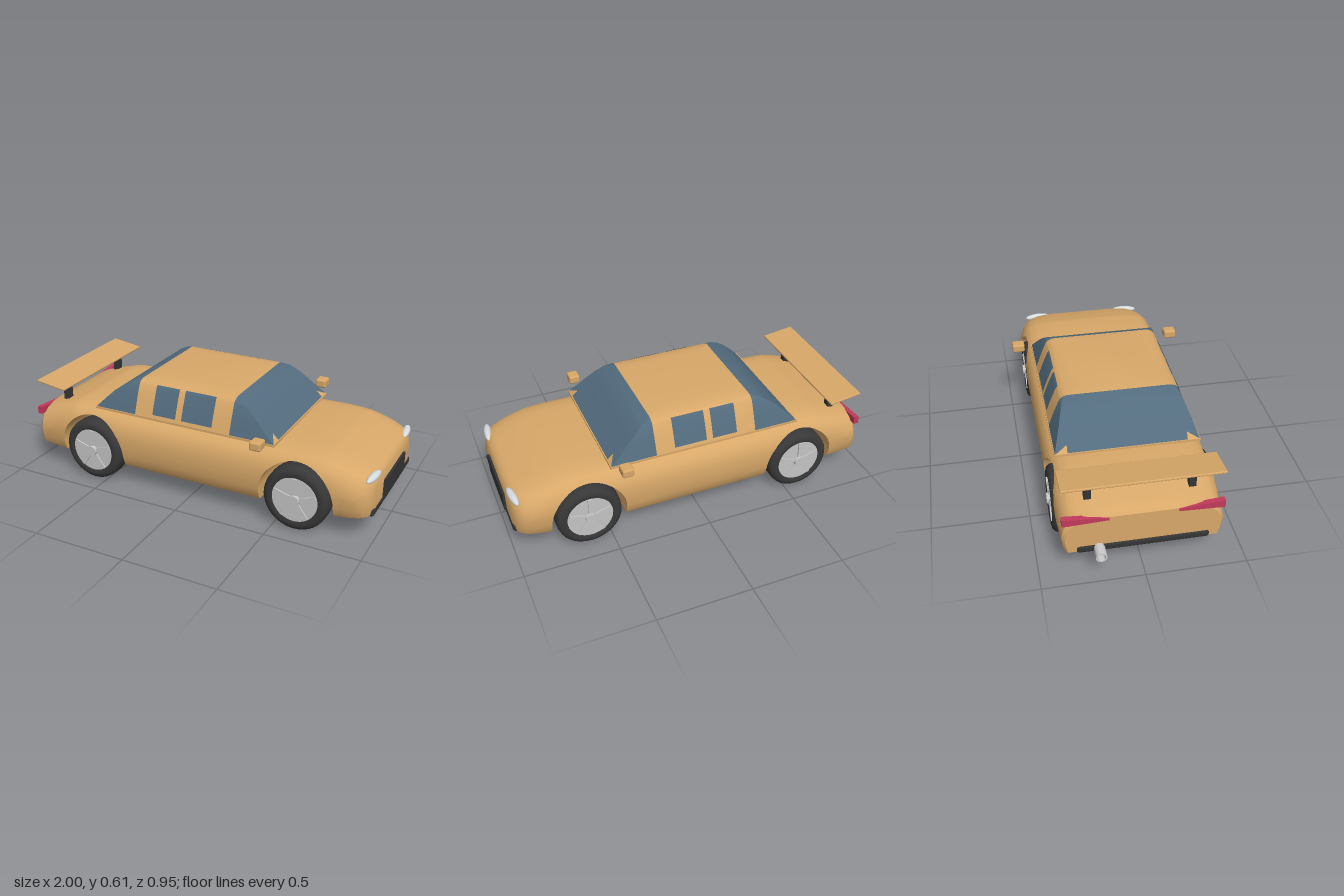
import * as THREE from 'three';
import { toCreasedNormals } from 'three/addons/utils/BufferGeometryUtils.js';
import { RoundedBoxGeometry } from 'three/addons/geometries/RoundedBoxGeometry.js';

const mat = (name, color, side = THREE.FrontSide) => {
  const m = new THREE.MeshStandardMaterial({ color, side });
  m.name = name;
  return m;
};

// Linear lookup in a table of [key, value] with rising keys
function lookup(table, k) {
  if (k <= table[0][0]) return table[0][1];
  for (let i = 1; i < table.length; i++) {
    const [k0, v0] = table[i - 1], [k1, v1] = table[i];
    if (k <= k1) return v0 + (v1 - v0) * (k - k0) / (k1 - k0);
  }
  return table[table.length - 1][1];
}

// Skin over mirrored sections; each is { x, half: [[z, y], ...] } listed from top to bottom
function loft(sections, crease) {
  const pos = [], idx = [];
  const n = sections[0].half.length * 2 + 1;
  for (const { x, half } of sections) {
    for (const [z, y] of [...half].reverse()) pos.push(x, y, z);
    pos.push(x, half[0][1], 0);
    for (const [z, y] of half) pos.push(x, y, -z);
  }
  const last = (sections.length - 1) * n;
  for (let i = 0; i < last; i += n) {
    for (let j = 0; j < n; j++) {
      const k = (j + 1) % n;
      idx.push(i + j, i + n + k, i + k, i + j, i + n + j, i + n + k);
    }
  }
  for (let k = 1; k < n - 1; k++) idx.push(0, k, k + 1, last, last + k + 1, last + k);
  const g = new THREE.BufferGeometry();
  g.setAttribute('position', new THREE.Float32BufferAttribute(pos, 3));
  g.setIndex(idx);
  return toCreasedNormals(g, crease);
}

const AXLES = [-0.57, 0.615], AXLE_Y = 0.177, ARCH_R = 0.195;

function bodyGeometry() {
  const top = [[-0.93, 0.335], [-0.915, 0.352], [-0.8, 0.388], [-0.7, 0.413], [-0.6, 0.416], [0.65, 0.416],
    [0.75, 0.41], [0.85, 0.386], [0.95, 0.352], [0.975, 0.337], [0.988, 0.315]];
  const width = [[-0.93, 0.375], [-0.915, 0.387], [-0.7, 0.4], [-0.4, 0.405], [0.65, 0.405], [0.8, 0.4],
    [0.88, 0.392], [0.93, 0.378], [0.96, 0.358], [0.978, 0.33], [0.988, 0.295]];
  const floor = [[-0.93, 0.142], [-0.765, 0.122], [-0.7, 0.115], [0.7, 0.115], [0.81, 0.122], [0.97, 0.138], [0.988, 0.15]];
  const shoulder = [[0, 0.5], [0.003, 0.65], [0.01, 0.77], [0.022, 0.86], [0.045, 0.93], [0.08, 0.975], [0.12, 1]];
  const sill = [[0.11, 0.91], [0.14, 0.955], [0.18, 0.985], [0.23, 1]];

  // Stations along the car; the underside follows the wheel arches
  const stations = [];
  const plain = (...xs) => xs.forEach(x => stations.push([x, lookup(floor, x)]));
  const arch = cx => {
    plain(cx - ARCH_R);
    for (let i = 0; i <= 24; i++) {
      const a = Math.PI * (1 - i / 24);
      stations.push([cx + ARCH_R * Math.cos(a), AXLE_Y + ARCH_R * Math.sin(a)]);
    }
    plain(cx + ARCH_R);
  };
  plain(-0.93, -0.915, -0.86, -0.8);
  arch(AXLES[0]);
  plain(-0.2, 0, 0.2);
  arch(AXLES[1]);
  plain(0.85, 0.88, 0.91, 0.93, 0.95, 0.965, 0.978, 0.988);

  return loft(stations.map(([x, b]) => {
    const t = lookup(top, x), w = lookup(width, x);
    let y = t;
    const levels = [...shoulder.map(([d]) => t - d), 0.23, 0.18, 0.14, b];
    const half = levels.map(level => {
      y = Math.max(b, Math.min(y, level));
      return [w * Math.min(lookup(shoulder, t - y), lookup(sill, y)), y];
    });
    return { x, half };
  }), 0.55);
}

// Cabin half width by height, and its side outline
const cabinSide = [[0.415, 0.365], [0.5, 0.335], [0.575, 0.304], [0.588, 0.293], [0.597, 0.272], [0.603, 0.235], [0.606, 0.18]];
const cabinTop = [[-0.55, 0.424], [-0.5, 0.476], [-0.45, 0.524], [-0.4, 0.561], [-0.35, 0.586], [-0.31, 0.599],
  [-0.26, 0.606], [0.19, 0.606], [0.24, 0.6], [0.29, 0.58], [0.34, 0.546], [0.39, 0.503], [0.44, 0.458], [0.48, 0.424]];
const cabinGeometry = (from, to) => loft(
  cabinTop.filter(([x]) => x >= from && x <= to).map(([x, t]) => ({
    x,
    half: [0.606, 0.603, 0.597, 0.588, 0.575, 0.5, 0.42].map(l => {
      const y = Math.min(l, t);
      return [lookup(cabinSide, y), y];
    }),
  })), 0.6);

// Thin sheet from rows of points
function sheet(points, index) {
  const g = new THREE.BufferGeometry();
  g.setAttribute('position', new THREE.Float32BufferAttribute(points.flat(), 3));
  g.setIndex(index);
  g.computeVertexNormals();
  return g;
}

export function createModel() {
  const paint = mat('tan paint', 0xd8a869, THREE.DoubleSide);
  const glass = mat('blue grey glass', 0x536c7e, THREE.DoubleSide);
  const black = mat('black trim', 0x343434);
  const rubber = mat('tyre rubber', 0x383838);
  const alloy = mat('wheel alloy', 0xc4c4c4);
  const chrome = mat('bright metal', 0xcccccc);
  const lens = mat('headlight lens', 0xd6dce0);
  const red = mat('red lens', 0xc23a5c);

  const car = new THREE.Group();
  car.name = 'car';
  const add = (name, geometry, material, x = 0, y = 0, z = 0, parent = car) => {
    const m = new THREE.Mesh(geometry, material);
    m.name = name;
    m.position.set(x, y, z);
    parent.add(m);
    return m;
  };

  add('body', bodyGeometry(), paint);

  // Cabin
  add('rearGlass', cabinGeometry(-0.55, -0.31), glass);
  add('roof', cabinGeometry(-0.31, 0.24), paint);
  add('windscreen', cabinGeometry(0.24, 0.48), glass);
  add('cabinBase', new THREE.BoxGeometry(1.04, 0.012, 0.73), paint, -0.035, 0.419, 0);
  for (const s of [1, -1]) {
    for (const [x0, x1] of [[-0.205, -0.07], [-0.035, 0.14]]) {
      const rows = [0.442, 0.5, 0.575, 0.587].map(y => [y, s * (lookup(cabinSide, y) + 0.003)]);
      const pts = rows.flatMap(([y, z]) => [[x0, y, z], [x1, y, z]]);
      const idx = [0, 2, 4].flatMap(i => s > 0
        ? [i, i + 1, i + 3, i, i + 3, i + 2] : [i, i + 3, i + 1, i, i + 2, i + 3]);
      add('sideWindow', sheet(pts, idx), glass);
    }
    // Painted pillar feet at the corners of the front and rear glass
    for (const [foot, tip] of [[0.483, 0.449], [-0.553, -0.524]]) {
      const flip = s * foot > 0;
      add('pillarFoot', sheet([[foot, 0.424, s * 0.362], [foot, 0.424, s * 0.3], [tip, 0.456, s * 0.3]],
        flip ? [0, 1, 2] : [0, 2, 1]), paint);
    }
    add('mirror', new RoundedBoxGeometry(0.06, 0.046, 0.068, 2, 0.01), paint, 0.43, 0.452, s * 0.443);

    // Lights
    const head = add('headlight', new THREE.SphereGeometry(1, 24, 16), lens, 0.966, 0.331, s * 0.28);
    head.scale.set(0.02, 0.019, 0.073);
    head.rotation.y = s * -0.12;
    const tail = new THREE.Shape([[0.165, 0.322], [0.385, 0.313], [0.385, 0.354], [0.165, 0.335]]
      .map(([z, y]) => new THREE.Vector2(-s * z, y)));
    const lamp = add('tailLight', new THREE.ExtrudeGeometry(tail, { depth: 0.028, bevelEnabled: false }), red, -0.936);
    lamp.rotation.y = Math.PI / 2;

    add('spoilerStrut', new THREE.BoxGeometry(0.035, 0.12, 0.035), black, -0.82, 0.435, s * 0.25);
  }

  // Spoiler, grille, bumpers and exhaust
  const wing = add('spoiler', new RoundedBoxGeometry(0.18, 0.013, 0.77, 2, 0.005), paint, -0.833, 0.498, 0);
  wing.rotation.z = -0.14;
  add('grille', new THREE.BoxGeometry(0.03, 0.106, 0.342), black, 0.985, 0.214, 0);
  add('frontBumper', new RoundedBoxGeometry(0.04, 0.042, 0.64, 3, 0.015), black, 0.972, 0.153, 0);
  add('rearBumper', new RoundedBoxGeometry(0.04, 0.042, 0.64, 3, 0.015), black, -0.917, 0.153, 0);
  const pipe = [[0, -0.02], [0.027, -0.02], [0.027, 0.09], [0.02, 0.09], [0.02, 0.03], [0, 0.03]]
    .map(p => new THREE.Vector2(...p));
  const exhaust = add('exhaust', toCreasedNormals(new THREE.LatheGeometry(pipe, 24), 0.6), chrome, -0.91, 0.153, -0.212);
  exhaust.rotation.z = Math.PI / 2;

  // Wheels: turned about z, outer face towards +z
  const tyreProfile = [[0, -0.062], [0.135, -0.062], [0.155, -0.058], [0.168, -0.045], [0.172, -0.025], [0.172, 0.025],
    [0.168, 0.045], [0.155, 0.058], [0.138, 0.062], [0.122, 0.058], [0.118, 0.045], [0, 0.045]]
    .map(p => new THREE.Vector2(...p));
  const tyreGeo = toCreasedNormals(new THREE.LatheGeometry(tyreProfile, 40).rotateX(Math.PI / 2), 0.6);
  const discGeo = new THREE.CylinderGeometry(0.12, 0.12, 0.012, 40).rotateX(Math.PI / 2);
  const hubGeo = new THREE.CylinderGeometry(0.028, 0.03, 0.026, 24).rotateX(Math.PI / 2);
  for (const x of AXLES) {
    for (const s of [1, -1]) {
      const wheel = new THREE.Group();
      wheel.name = 'wheel';
      wheel.position.set(x, 0.172, s * 0.343);
      wheel.rotation.y = s > 0 ? 0 : Math.PI;
      add('tyre', tyreGeo, rubber, 0, 0, 0, wheel);
      add('rimDisc', discGeo, alloy, 0, 0, 0.048, wheel);
      add('hub', hubGeo, alloy, 0, 0, 0.06, wheel);
      for (let i = 0; i < 5; i++) {
        const a = Math.PI / 2 + i * Math.PI * 0.4;
        const spoke = add('spoke', new THREE.BoxGeometry(0.095, 0.018, 0.012), alloy,
          0.068 * Math.cos(a), 0.068 * Math.sin(a), 0.056, wheel);
        spoke.rotation.z = a;
      }
      car.add(wheel);
    }
  }
  return car;
}
